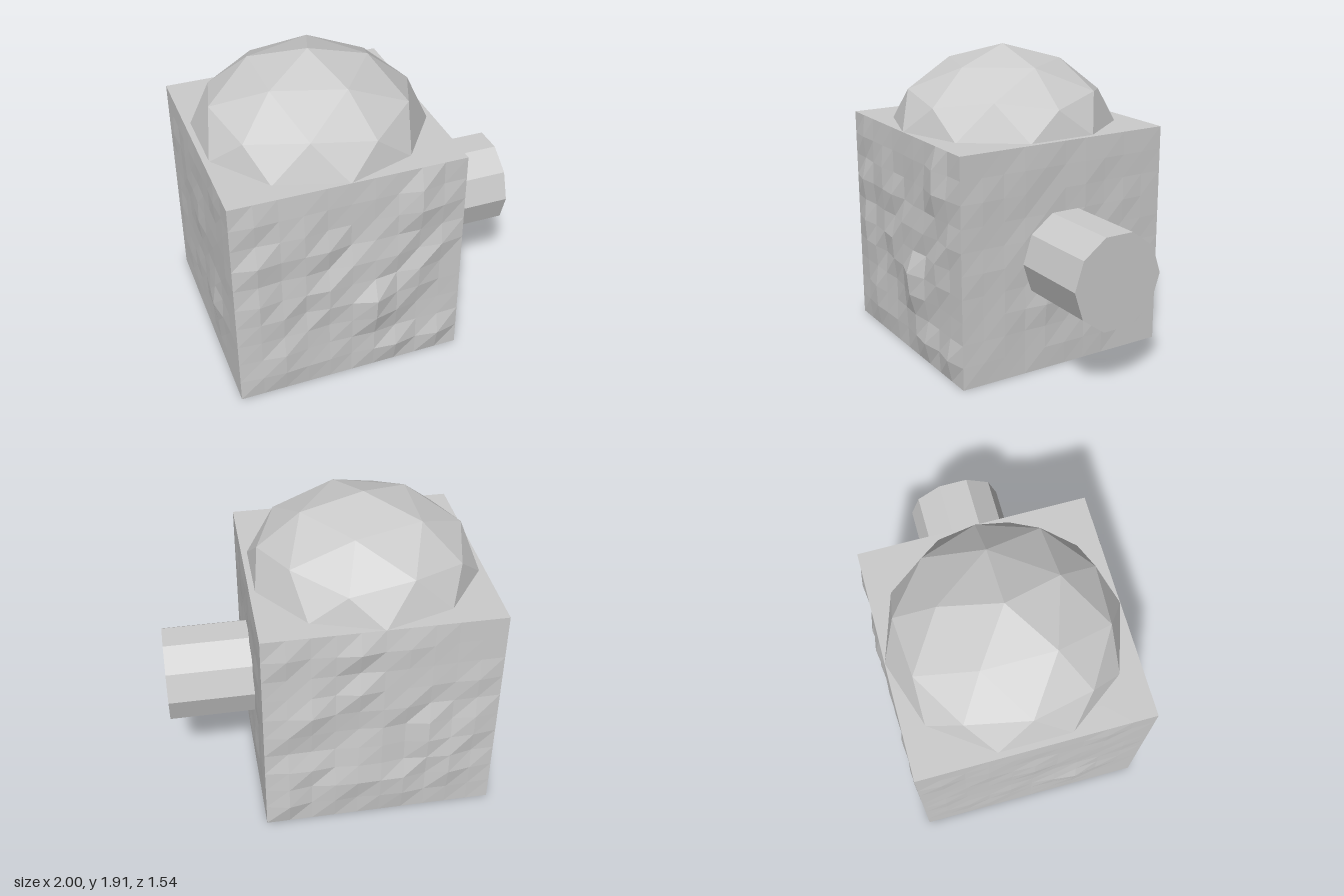
import * as THREE from 'three';

const CX = -0.25, CZ = -0.02; // axis of body and dome
const SIZE = 1.43;

const material = () => new THREE.MeshStandardMaterial({ color: 0xcccccc, flatShading: true });

function seeded(seed) {
  return () => {
    seed = (seed * 16807) % 2147483647;
    return seed / 2147483647;
  };
}

// Block whose four upright faces are chipped by small outward bumps
function makeBody() {
  const geo = new THREE.BoxGeometry(SIZE, SIZE, SIZE, 10, 10, 10);
  const pos = geo.attributes.position, nor = geo.attributes.normal;
  const rand = seeded(17), h = SIZE / 2;
  // main bumps: position along the face (x or z), height above ground, rise
  const bumps = {
    front: [[-0.11, 0.57, 0.075], [-0.11, 0.43, 0.06], [-0.84, 0.72, 0.03], [-0.68, 0.29, 0.03], [0.18, 1.14, 0.04]],
    back: [[0.18, 0.86, 0.04], [-0.25, 0.14, 0.02], [-0.54, 0.43, 0.01]],
    left: [[0.12, 0.43, 0.02], [-0.3, 0.3, 0.015]],
    right: [[0.25, 0.43, 0.035], [-0.03, 0.9, 0.02]],
  };
  for (let i = 0; i < pos.count; i++) {
    const nx = nor.getX(i), nz = nor.getZ(i);
    if (Math.abs(nor.getY(i)) > 0.5) continue;
    const along = nz ? pos.getX(i) : pos.getZ(i), y = pos.getY(i);
    if (Math.max(Math.abs(along), Math.abs(y)) > h - 0.01) continue;
    const side = nz > 0 ? 'front' : nz < 0 ? 'back' : nx > 0 ? 'left' : 'right';
    const a = along + (nz ? CX : CZ);
    let d = Math.pow(rand(), 2) * (nz ? 0.035 : 0.008);
    for (const [ba, by, rise] of bumps[side]) {
      const r = Math.hypot(a - ba, y + h - by);
      d = Math.max(d, rise * (1 - r / 0.22));
    }
    pos.setXYZ(i, pos.getX(i) + nx * d, y, pos.getZ(i) + nz * d);
  }
  geo.computeVertexNormals();
  const mesh = new THREE.Mesh(geo, material());
  mesh.position.set(CX, h, CZ);
  return mesh;
}

// Faceted half sphere: five-fold rings above a ten-sided rim
function makeDome() {
  const R = 0.715;
  const point = (radius, y, deg) => {
    const t = THREE.MathUtils.degToRad(deg);
    return [radius * R * Math.cos(t), y, radius * R * Math.sin(t)];
  };
  const apex = [0, 1.915, 0], base = [0, 1.42, 0];
  const upper = (a) => point(0.526, 1.81, a);
  const corner = (a) => point(0.894, 1.597, a);
  const middle = (a) => point(0.851, 1.652, a);
  const rim = (a) => point(1, 1.425, a);
  const verts = [];
  const tri = (a, b, c) => verts.push(...a, ...c, ...b);
  for (let k = 0; k < 5; k++) {
    const a = 72 * k, b = a + 72, m = a + 36;
    tri(apex, upper(a), upper(b));
    tri(upper(a), corner(a), middle(m));
    tri(upper(a), middle(m), upper(b));
    tri(upper(b), middle(m), corner(b));
    tri(corner(a), rim(a - 18), rim(a + 18));
    tri(corner(a), rim(a + 18), middle(m));
    tri(middle(m), rim(a + 18), rim(a + 54));
    tri(middle(m), rim(a + 54), corner(b));
    tri(base, rim(a + 18), rim(a - 18));
    tri(base, rim(a + 54), rim(a + 18));
  }
  const geo = new THREE.BufferGeometry();
  geo.setAttribute('position', new THREE.Float32BufferAttribute(verts, 3));
  geo.computeVertexNormals();
  const mesh = new THREE.Mesh(geo, material());
  mesh.position.set(CX, 0, CZ);
  return mesh;
}

// Ten-sided peg standing out of the left face
function makePeg() {
  const x0 = 0.4, x1 = 1;
  const geo = new THREE.CylinderGeometry(0.3, 0.3, x1 - x0, 10);
  geo.rotateZ(-Math.PI / 2);
  const mesh = new THREE.Mesh(geo, material());
  mesh.position.set((x0 + x1) / 2, 0.715, CZ);
  return mesh;
}

export function createModel() {
  const model = new THREE.Group();
  model.name = 'model';
  const parts = { body: makeBody(), dome: makeDome(), sidePeg: makePeg() };
  for (const [name, mesh] of Object.entries(parts)) {
    mesh.name = name;
    model.add(mesh);
  }
  return model;
}
